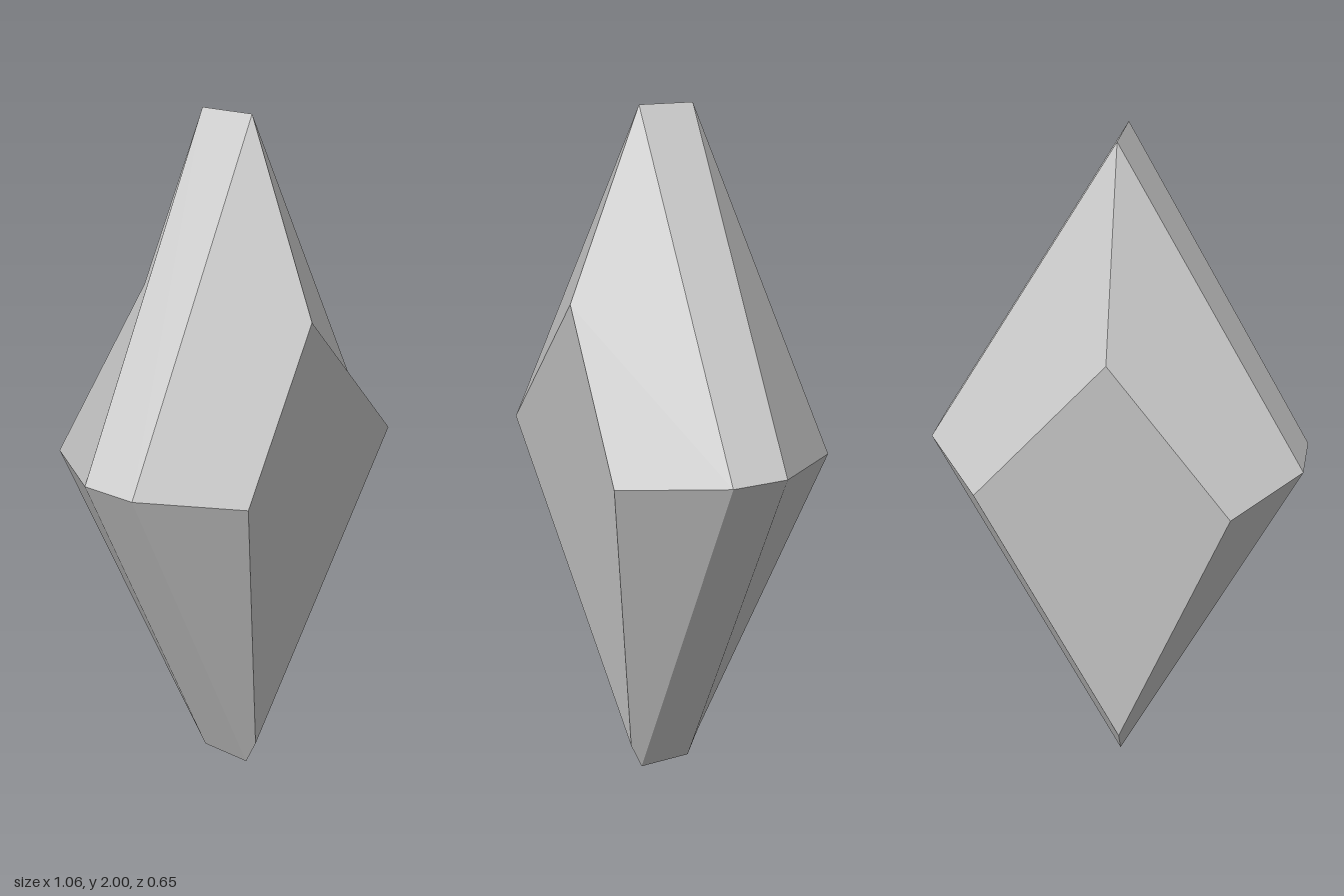
import * as THREE from 'three';

// Diamond-shaped rings, each listed top, left (+x), bottom, right (-x)
const rim = (z) => [[-0.01, 2, z], [0.53, 1.095, z], [-0.02, 0, z], [-0.53, 1.095, z]];
const table = (s) => [
  [-0.02, 1.48, 0.285 * s], [0.34, 1.07, 0.325 * s],
  [-0.02, 0.08, 0.115 * s], [-0.36, 1.075, 0.325 * s],
];

// Builds facets from quads; each quad is split along a-c and keeps one flat normal
function facets(quads) {
  const pos = [], nor = [];
  for (const quad of quads) {
    const [a, b, c, d] = quad.map((p) => new THREE.Vector3(...p));
    const n = c.clone().sub(a).cross(d.clone().sub(b)).normalize();
    for (const p of [a, b, c, a, c, d]) {
      pos.push(p.x, p.y, p.z);
      nor.push(n.x, n.y, n.z);
    }
  }
  const g = new THREE.BufferGeometry();
  g.setAttribute('position', new THREE.Float32BufferAttribute(pos, 3));
  g.setAttribute('normal', new THREE.Float32BufferAttribute(nor, 3));
  return g;
}

// Band of four outward-facing quads joining a front ring to the ring behind it
const band = (front, back) => front.map((p, i) => {
  const j = (i + 1) % 4;
  return [p, front[j], back[j], back[i]];
});

export function createModel() {
  const model = new THREE.Group();
  model.name = 'crystal';
  const stone = new THREE.MeshStandardMaterial({ color: 0xcccccc });
  stone.name = 'pale grey stone';

  const add = (name, quads) => {
    const mesh = new THREE.Mesh(facets(quads), stone);
    mesh.name = name;
    model.add(mesh);
  };

  const front = table(1), back = table(-1);
  const rimFront = rim(0.08), rimBack = rim(-0.08);

  // Front table creases top to bottom, back table creases side to side
  add('frontTable', [[front[0], front[3], front[2], front[1]]]);
  add('backTable', [[back[1], back[2], back[3], back[0]]]);

  // Bevels and the narrow girdle between them
  add('frontBevel', band(front, rimFront));
  add('girdle', band(rimFront, rimBack));
  add('backBevel', band(rimBack, back));

  return model;
}
